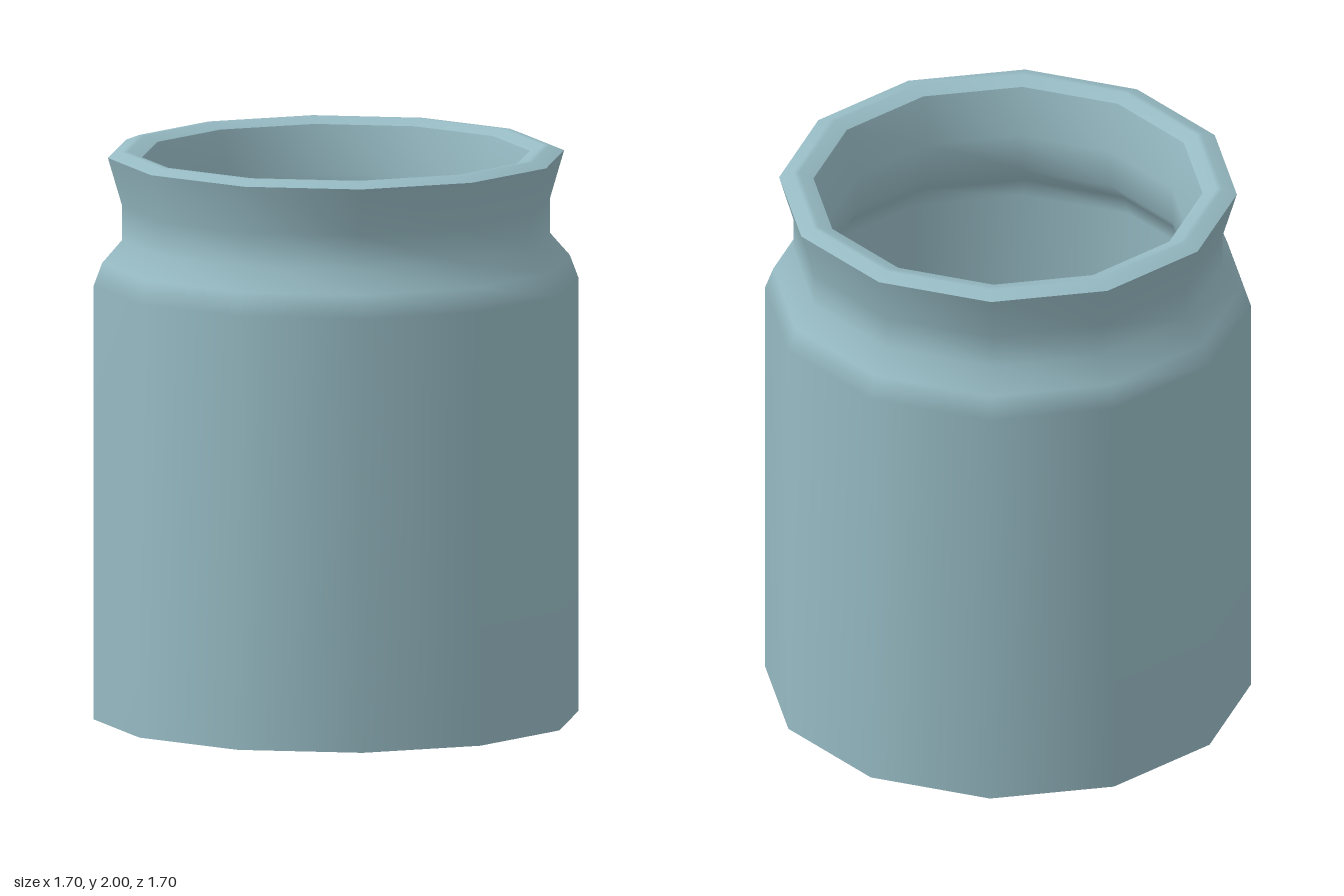
import * as THREE from 'three';

const SIDES = 12;

// One smooth band of the jar; separate bands meet in a sharp edge.
function band(name, profile, material) {
  const points = profile.map(([r, y]) => new THREE.Vector2(r, y));
  const mesh = new THREE.Mesh(new THREE.LatheGeometry(points, SIDES), material);
  mesh.name = name;
  return mesh;
}

export function createModel() {
  const model = new THREE.Group();
  model.name = 'jar';
  const glass = new THREE.MeshStandardMaterial({ color: 0x96bac3 });
  const green = new THREE.MeshStandardMaterial({ color: 0x4f6b2f });

  // Profiles run up the outside, over the rim and down the inside.
  const bands = {
    base: [[0, 0], [0.85, 0]],
    outerWall: [[0.85, 0], [0.85, 1.53], [0.82, 1.61], [0.75, 1.69], [0.75, 1.81], [0.8, 1.98]],
    rim: [[0.8, 1.98], [0.75, 2], [0.73, 2], [0.68, 1.98]],
    innerWall: [[0.68, 1.98], [0.635, 1.81], [0.635, 1.67], [0.72, 1.58], [0.75, 1.5], [0.75, 0.1]],
    innerFloor: [[0.75, 0.1], [0, 0.1]],
  };
  for (const [name, profile] of Object.entries(bands)) model.add(band(name, profile, glass));

  // Surface of the contents, low inside the jar
  model.add(band('contents', [[0.8, 0.23], [0, 0.23]], green));

  return model;
}
